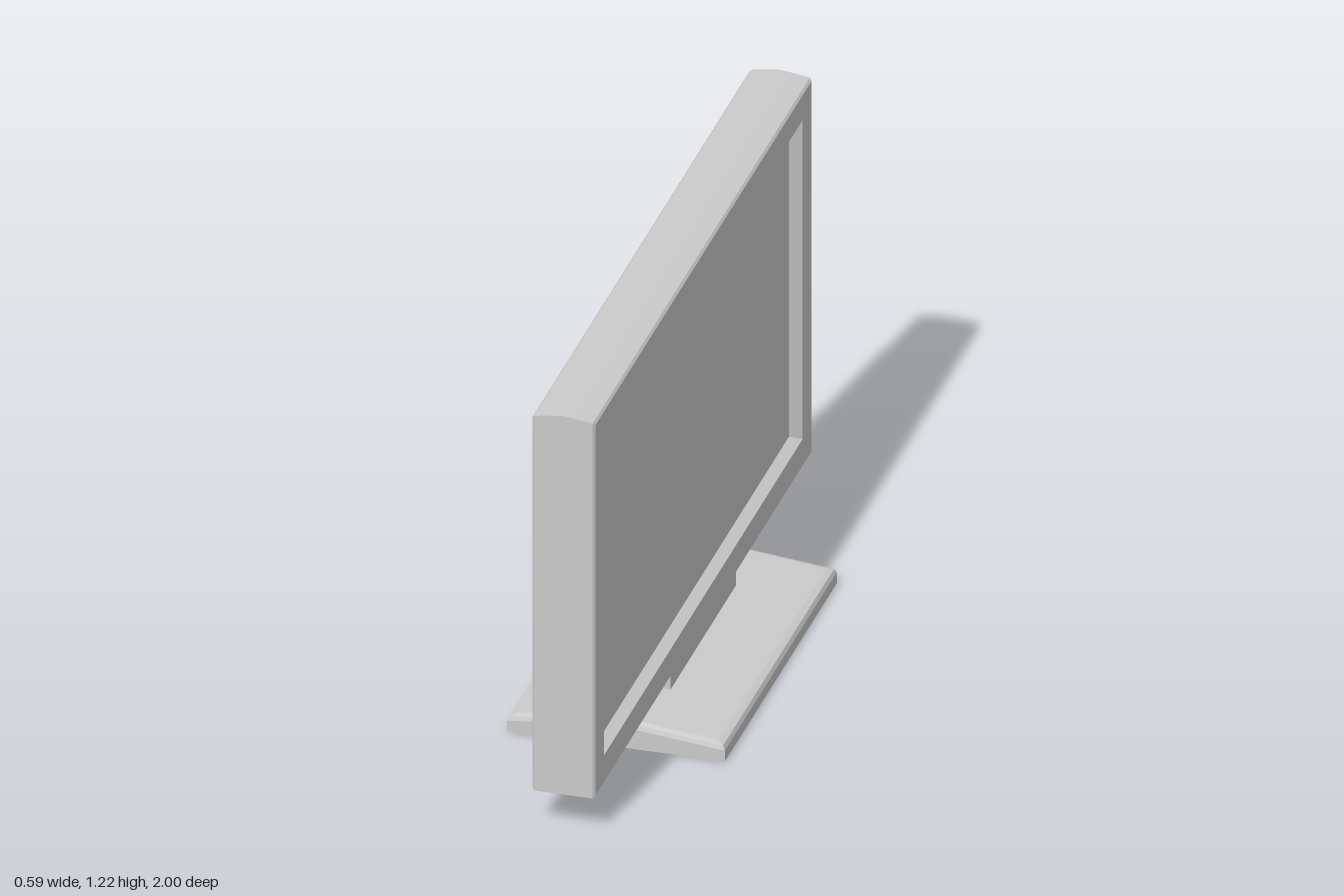
import * as THREE from 'three';
import { toCreasedNormals } from 'three/addons/utils/BufferGeometryUtils.js';
import { ConvexGeometry } from 'three/addons/geometries/ConvexGeometry.js';

const material = new THREE.MeshStandardMaterial({ color: 0xcccccc });

// Skins a row of upright rectangles [x, bottom, top, halfDepth], ordered from -x to +x.
function loftRectangles(rings) {
  const positions = [];
  const quad = (a, b, c, d) => positions.push(...a, ...b, ...c, ...a, ...c, ...d);
  const corners = rings.map(([x, y0, y1, z]) => [[x, y0, z], [x, y0, -z], [x, y1, -z], [x, y1, z]]);
  for (let r = 0; r < corners.length - 1; r++) {
    const a = corners[r], b = corners[r + 1];
    for (let i = 0; i < 4; i++) {
      const j = (i + 1) % 4;
      quad(a[i], a[j], b[j], b[i]);
    }
  }
  const first = corners[0], last = corners[corners.length - 1];
  quad(first[3], first[2], first[1], first[0]);
  quad(...last);
  const geometry = new THREE.BufferGeometry();
  geometry.setAttribute('position', new THREE.Float32BufferAttribute(positions, 3));
  return toCreasedNormals(geometry, 0.25);
}

// Low roof-shaped foot with bevelled upper edges.
function footGeometry() {
  const points = [];
  // [half width, half depth, height at side, height at ridge]
  const levels = [
    [0.295, 0.515, 0, 0],
    [0.295, 0.515, 0.032, 0.062],
    [0.289, 0.51, 0.044, 0.074],
    [0.272, 0.495, 0.05, 0.081],
  ];
  for (const [x, z, side, ridge] of levels) {
    for (const s of [-1, 1]) {
      points.push(
        new THREE.Vector3(-x, side, s * z),
        new THREE.Vector3(0, ridge, s * z),
        new THREE.Vector3(x, side, s * z)
      );
    }
  }
  return new ConvexGeometry(points);
}

export function createModel() {
  const model = new THREE.Group();
  model.name = 'television';
  const add = (name, geometry) => {
    const mesh = new THREE.Mesh(geometry, material);
    mesh.name = name;
    model.add(mesh);
    return mesh;
  };

  // Cabinet with arched top and chamfered rims; the last two rings sink the screen into the +x face
  add('cabinetAndScreen', loftRectangles([
    [-0.085, 0.112, 1.203, 0.994],
    [-0.079, 0.106, 1.21, 1],
    [-0.04, 0.106, 1.216, 1],
    [0, 0.106, 1.221, 1],
    [0.04, 0.106, 1.216, 1],
    [0.079, 0.106, 1.21, 1],
    [0.085, 0.112, 1.203, 0.994],
    [0.085, 0.19, 1.13, 0.913],
    [0.055, 0.205, 1.112, 0.889],
  ]));

  // Short wide neck, flush with the cabinet
  add('neck', new THREE.BoxGeometry(0.1696, 0.065, 0.604)).position.y = 0.0925;

  // Foot
  add('foot', footGeometry());

  return model;
}
